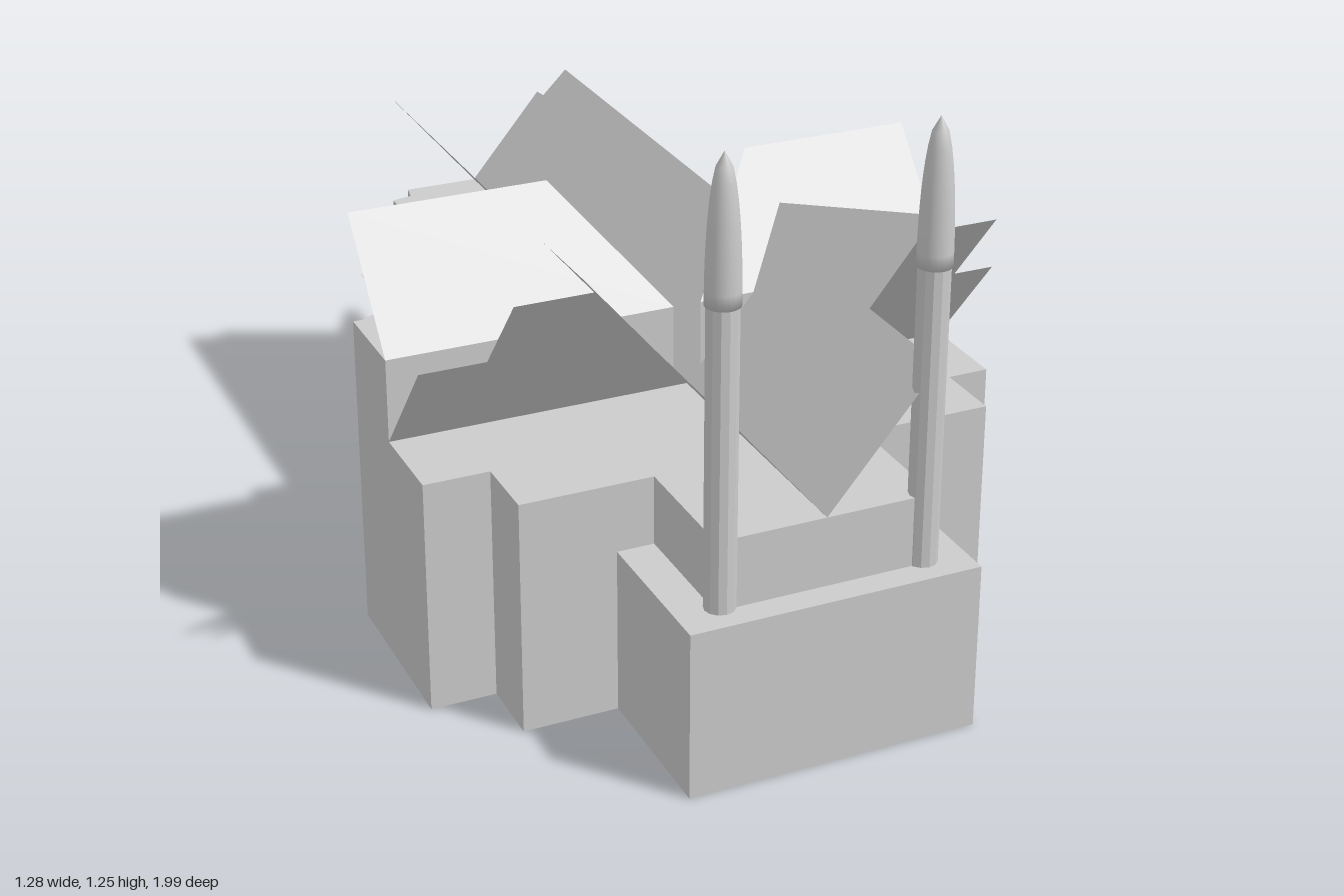
import * as THREE from 'three';

const WALL = 0.495; // main wall height
const PITCH = 1.185; // slope shared by the large roofs

export function createModel() {
  const model = new THREE.Group();
  model.name = 'church';
  // The plan is drawn along its own axis (x across, z forward), then turned.
  const plan = new THREE.Group();
  plan.name = 'building';
  plan.rotation.y = 0.2755;
  plan.position.set(-0.046, 0, 0.013);
  model.add(plan);

  const solid = new THREE.MeshStandardMaterial({ color: 0xcccccc, flatShading: true });
  const thin = new THREE.MeshStandardMaterial({ color: 0xcccccc, flatShading: true, side: THREE.DoubleSide });
  const smooth = new THREE.MeshStandardMaterial({ color: 0xcccccc });

  function add(name, geometry, material) {
    const mesh = new THREE.Mesh(geometry, material);
    mesh.name = name;
    plan.add(mesh);
    return mesh;
  }
  const outline = (pts, s) => new THREE.Shape(pts.map(([x, z]) => new THREE.Vector2(x * s, -z)));

  // Upright block from a plan outline; s = -1 mirrors it across the axis.
  function block(name, pts, height, s = 1) {
    const g = new THREE.ExtrudeGeometry(outline(pts, s), { depth: height, bevelEnabled: false });
    return add(name, g.rotateX(-Math.PI / 2), solid);
  }

  // Thin sloping roof: a plan outline lifted by a height rule.
  function roof(name, pts, heightAt, s = 1) {
    const g = new THREE.ShapeGeometry(outline(pts, s)).rotateX(-Math.PI / 2);
    const p = g.attributes.position;
    for (let i = 0; i < p.count; i++) p.setY(i, heightAt(Math.abs(p.getX(i)), p.getZ(i)));
    g.computeVertexNormals();
    return add(name, g, thin);
  }

  // Nave and front porch
  block('naveWalls', [
    [-0.168, -0.97], [0.168, -0.97], [0.168, -0.932], [0.205, -0.925], [0.205, -0.9], [0.222, -0.9],
    [0.225, 0.872], [-0.225, 0.872], [-0.222, -0.9], [-0.222, -0.92], [-0.175, -0.93],
  ], WALL);
  block('porch', [[-0.302, 0.55], [0.302, 0.55], [0.302, 0.928], [-0.302, 0.928]], 0.35);

  for (const s of [1, -1]) {
    const side = s > 0 ? 'left' : 'right';
    const end = s > 0 ? 0.587 : 0.636;

    // Nave roof rises outward from a central valley
    roof(side + 'NaveRoof', [
      [0, -0.97], [0.168, -0.97], [0.17, -0.935], [0.222, -0.922], [0.222, -0.025],
      [0.366, 0.594], [0.225, 0.6], [0.225, 0.872], [0, 0.872],
    ], (x) => WALL + PITCH * x, s);

    // Transept arm with a stepped front and a taller rear part
    block(side + 'TranseptWalls', [
      [0, 0.06], [end, 0.06], [end, 0.45], [0.5, 0.45], [0.5, 0.596], [0, 0.596],
    ], WALL, s);
    block(side + 'TranseptRearWalls', [[0.03, 0.256], [0.22, 0.06], [end, 0.06], [end, 0.256]], 0.67, s);
    roof(side + 'TranseptRearRoof', [[0.03, 0.256], [0.22, 0.06], [end, 0.06], [end, 0.256]],
      (x, z) => 0.67 + PITCH * (0.256 - z), s);
    roof(side + 'TranseptFrontRoof', [
      [0, 0.256], [end, 0.256], [end, 0.45], [0.5, 0.45], [0.5, 0.596], [0.34, 0.596],
    ], (x, z) => WALL + PITCH * (z - 0.256), s);

    // Low chapel behind the transept
    const [cx, cz] = s > 0 ? [0.478, -0.346] : [0.492, -0.294];
    block(side + 'Chapel', [[0.2, cz], [cx, cz], [cx, 0.08], [0.2, 0.08]], 0.41, s);

    // Aisle with its outward-rising lean-to roof
    const aisle = s > 0
      ? [[0.222, -0.75], [0.352, -0.75], [0.352, -0.307], [0.222, -0.307]]
      : [[0.222, -0.816], [0.374, -0.722], [0.374, -0.293], [0.222, -0.293]];
    const out = aisle[1][0];
    block(side + 'Aisle', aisle, 0.295, s);
    roof(side + 'AisleRoof', aisle, (x) => 0.295 + 0.117 * (x - 0.222) / (out - 0.222), s);

    // Tower: slim shaft and pointed dome
    const shaft = add(side + 'TowerShaft', new THREE.CylinderGeometry(0.031, 0.031, 0.61, 12), solid);
    shaft.position.set(s * 0.211, 0.655, 0.859);
    const profile = [[0, 0], [0.034, 0]];
    for (let i = 1; i <= 10; i++) {
      const t = i / 10;
      profile.push([0.034 * Math.sqrt(Math.max(0, 1 - t ** 2.2)), 0.287 * t]);
    }
    const dome = add(side + 'TowerDome',
      new THREE.LatheGeometry(profile.map(([x, y]) => new THREE.Vector2(x, y)), 20), smooth);
    dome.position.set(s * 0.211, 0.958, 0.859);
  }

  // Annex at the back corner
  block('annex', [
    [0.207, -0.832], [0.296, -0.934], [0.435, -0.93], [0.435, -0.707], [0.32, -0.706],
  ], 0.41);

  return model;
}
